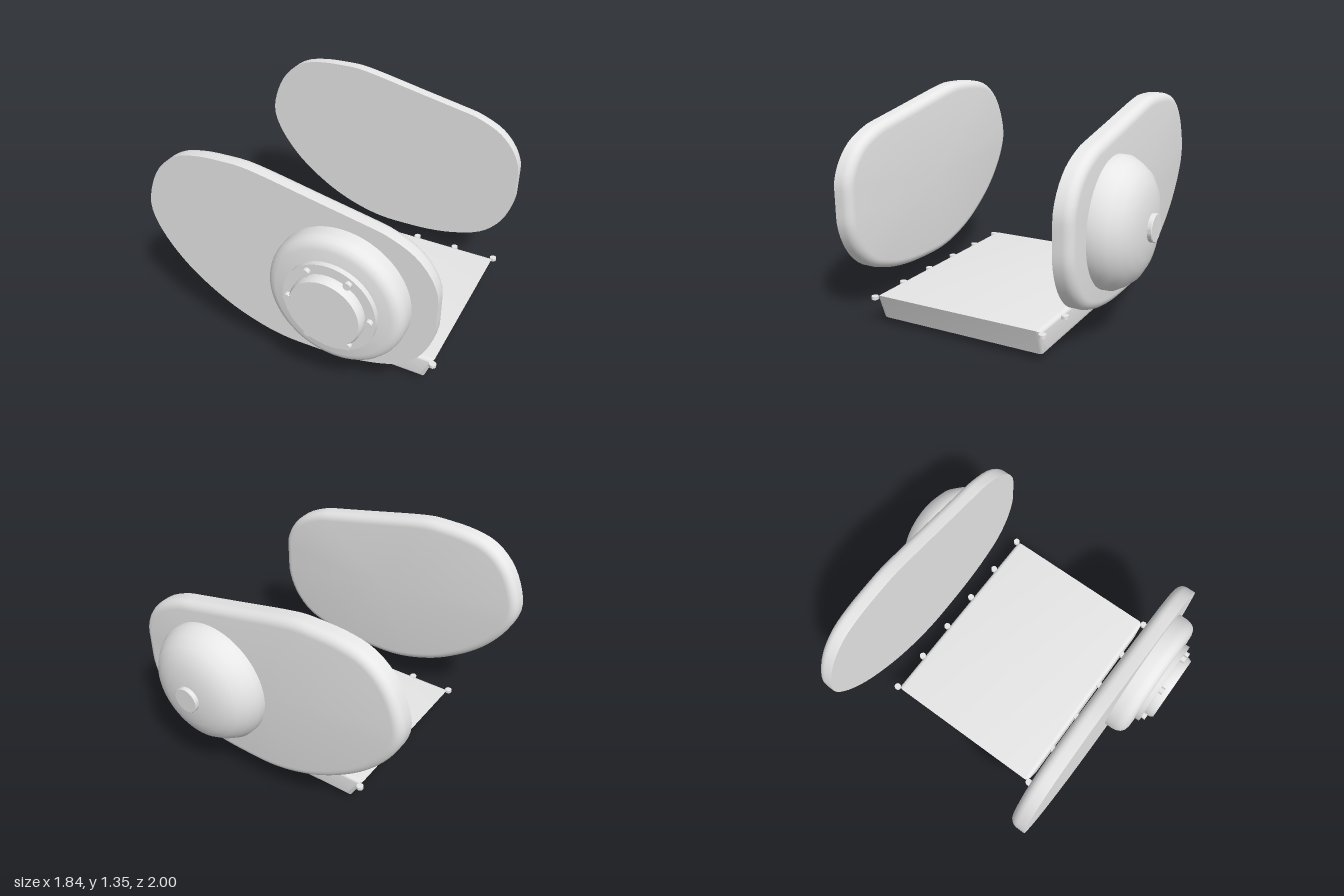
import * as THREE from 'three';
import { toCreasedNormals } from 'three/addons/utils/BufferGeometryUtils.js';

const grey = new THREE.MeshStandardMaterial({ color: 0xe7e7e7 });
grey.name = 'light cast grey';

const HUB = { x: 0.36, y: 0.717 };

// Outline of a side cover, counter-clockwise seen from the front
const OUTLINE = [
  [0.914, 0.64], [0.915, 0.7], [0.915, 0.82], [0.914, 0.88], [0.87, 0.99], [0.77, 1.10], [0.6, 1.18],
  [0.5, 1.202], [0.23, 1.256], [-0.04, 1.311], [-0.14, 1.33], [-0.25, 1.346], [-0.37, 1.346],
  [-0.53, 1.335], [-0.68, 1.295], [-0.80, 1.20], [-0.88, 1.065], [-0.92, 0.89], [-0.87, 0.735],
  [-0.705, 0.525], [-0.435, 0.335], [-0.21, 0.245], [-0.04, 0.21], [0.13, 0.205], [0.35, 0.215],
  [0.54, 0.25], [0.72, 0.32], [0.83, 0.425], [0.89, 0.54],
];

function add(parent, name, geometry, x = 0, y = 0, z = 0) {
  const mesh = new THREE.Mesh(geometry, grey);
  mesh.name = name;
  mesh.position.set(x, y, z);
  parent.add(mesh);
}

// Flat on +z, rounded over towards -z
function coverGeometry(depth, round) {
  const n = 96, steps = 6;
  const curve = new THREE.CatmullRomCurve3(
    OUTLINE.map(([x, y]) => new THREE.Vector3(x, y, 0)), true, 'centripetal');
  const rings = [[0, depth]];
  for (let s = 0; s <= steps; s++) {
    const a = (s / steps) * Math.PI / 2;
    rings.push([round * (1 - Math.cos(a)), round * (1 - Math.sin(a))]);
  }
  const pos = [], index = [];
  for (const [inset, z] of rings) {
    for (let i = 0; i < n; i++) {
      const p = curve.getPointAt(i / n), t = curve.getTangentAt(i / n);
      pos.push(p.x - t.y * inset, p.y + t.x * inset, z);
    }
  }
  pos.push(0, 0.75, depth, 0, 0.75, 0);
  const front = rings.length * n, last = (rings.length - 1) * n;
  for (let i = 0; i < n; i++) {
    const j = (i + 1) % n;
    for (let r = 0; r < rings.length - 1; r++) {
      const a = r * n, b = a + n;
      index.push(a + i, b + i, b + j, a + i, b + j, a + j);
    }
    index.push(front, i, j, front + 1, last + j, last + i);
  }
  const g = new THREE.BufferGeometry();
  g.setAttribute('position', new THREE.Float32BufferAttribute(pos, 3));
  g.setIndex(index);
  return toCreasedNormals(g, 0.6);
}

// Turned part on the z axis; profile is [radius, distance], facing front (+1) or back (-1)
function turned(profile, facing) {
  const g = new THREE.LatheGeometry(profile.map(([r, d]) => new THREE.Vector2(r, d)), 64);
  return toCreasedNormals(g.rotateX(facing * Math.PI / 2), 0.6);
}

function buildCovers(model) {
  const geometry = coverGeometry(0.11, 0.055);
  add(model, 'frontCover', geometry, 0, 0, 0.67);
  add(model, 'backCover', geometry, 0, 0, -0.75);
}

function buildClutch(model) {
  const clutch = new THREE.Group();
  clutch.name = 'clutchHousing';
  clutch.position.set(HUB.x, HUB.y, 0);
  model.add(clutch);
  add(clutch, 'clutchDrum', turned([
    [0.415, 0.77], [0.415, 0.835], [0.41, 0.86], [0.398, 0.885], [0.377, 0.902], [0.35, 0.91], [0, 0.91],
  ], 1));
  add(clutch, 'clutchPlate', turned([[0.28, 0.9], [0.28, 0.942], [0, 0.942]], 1));
  add(clutch, 'clutchCap', turned([[0.22, 0.935], [0.22, 0.978], [0.209, 1], [0, 1]], 1));
  const bolt = new THREE.CylinderGeometry(0.022, 0.022, 0.03, 16).rotateX(Math.PI / 2);
  for (let i = 0; i < 6; i++) {
    const a = i * Math.PI / 3;
    add(clutch, 'clutchBolt', bolt, 0.245 * Math.cos(a), 0.245 * Math.sin(a), 0.953);
  }
}

function buildDome(model) {
  const dome = new THREE.Group();
  dome.name = 'backHousing';
  dome.position.set(HUB.x, HUB.y, 0);
  model.add(dome);
  add(dome, 'dome', turned([
    [0.384, 0.74], [0.382, 0.8], [0.353, 0.853], [0.31, 0.905], [0.25, 0.94],
    [0.185, 0.961], [0.095, 0.973], [0, 0.976],
  ], -1));
  add(dome, 'domeHub', turned([[0.081, 0.96], [0.081, 0.996], [0.077, 1], [0, 1]], -1));
}

function buildOilPan(model) {
  // Trapezoid pan with rounded front and back edges
  const b = 0.03;
  const shape = new THREE.Shape([[-0.475, 0.039], [0.79, 0.039], [0.848, 0.2], [-0.562, 0.2]]
    .map(([x, y]) => new THREE.Vector2(x, y)));
  const pan = new THREE.ExtrudeGeometry(shape, {
    depth: 1.105 - 2 * b, bevelThickness: b, bevelSize: b, bevelOffset: -b, bevelSegments: 5,
  });
  add(model, 'oilPan', toCreasedNormals(pan, 0.6), 0, 0, -0.54 + b);

  const bolt = new THREE.CylinderGeometry(0.022, 0.022, 0.02, 16);
  for (const z of [-0.555, 0.575]) {
    for (let i = 0; i < 6; i++) add(model, 'panBolt', bolt, -0.56 + i * 0.2815, 0.182, z);
  }

  // Hexagonal drain plug
  const plug = new THREE.CylinderGeometry(0.051, 0.051, 0.05, 6).rotateY(Math.PI / 2);
  add(model, 'drainPlug', toCreasedNormals(plug, 0.5), 0.142, 0.025, 0.015);
}

export function createModel() {
  const model = new THREE.Group();
  model.name = 'engineCovers';
  buildCovers(model);
  buildClutch(model);
  buildDome(model);
  buildOilPan(model);
  return model;
}
